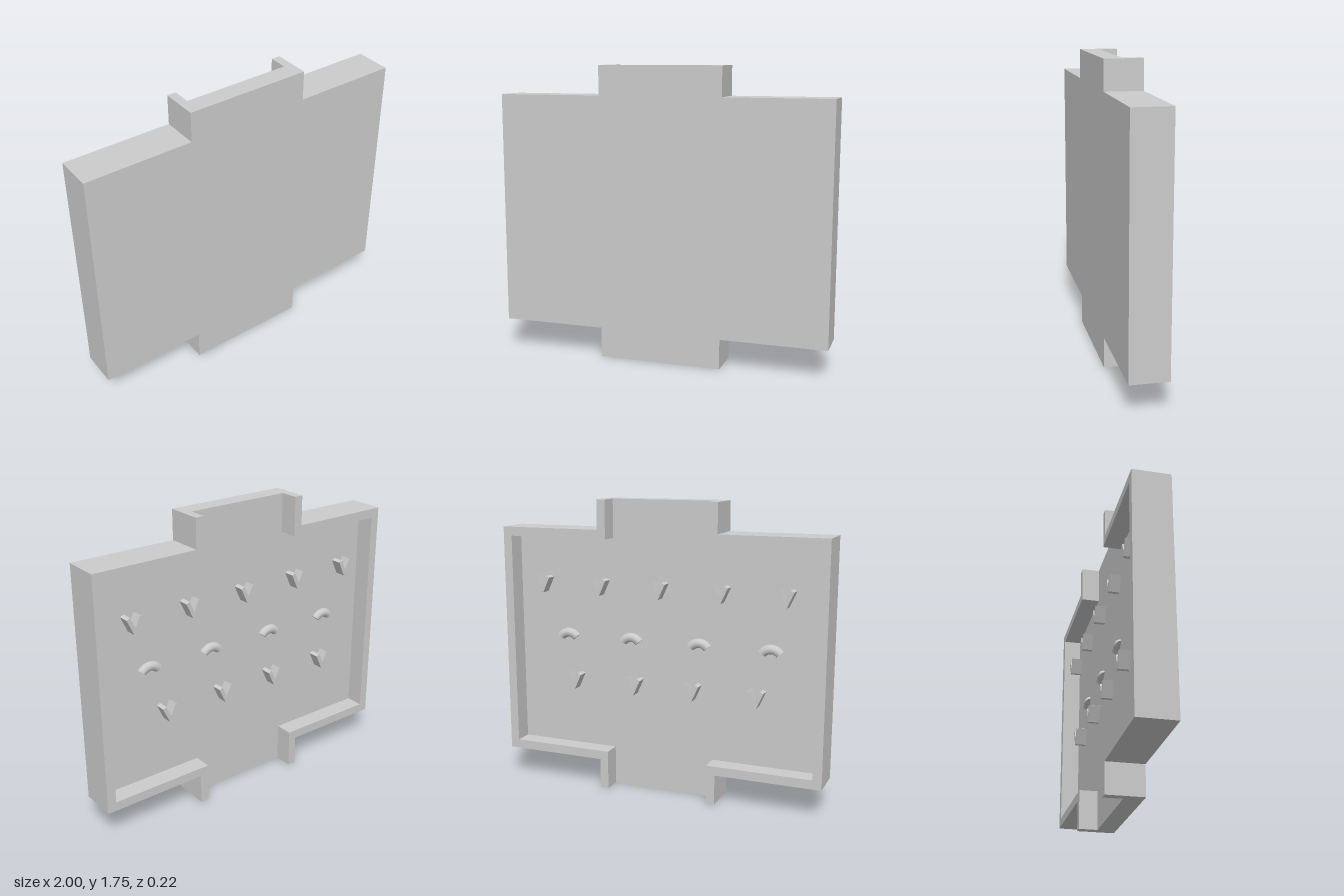
import * as THREE from 'three';

const material = new THREE.MeshStandardMaterial({ color: 0xcccccc, flatShading: true });
const smooth = new THREE.MeshStandardMaterial({ color: 0xcccccc });

function slab(name, points, depth, z) {
  const shape = new THREE.Shape(points.map(([x, y]) => new THREE.Vector2(x, y)));
  const mesh = new THREE.Mesh(new THREE.ExtrudeGeometry(shape, { depth, bevelEnabled: false }), material);
  mesh.name = name;
  mesh.position.z = z;
  return mesh;
}

// V-shaped marker made of two leaning bars
function vMarker(x, y) {
  const group = new THREE.Group();
  group.name = 'vMarker';
  for (const side of [-1, 1]) {
    const arm = new THREE.Mesh(new THREE.BoxGeometry(0.024, 0.1, 0.065), material);
    arm.name = 'vMarkerArm';
    arm.position.x = side * 0.02;
    arm.rotation.z = -side * 0.43;
    group.add(arm);
  }
  group.position.set(x, y, -0.0625);
  return group;
}

// Curved marker: short arc of tube half sunk in the floor, with capped ends
function arcMarker(x, y) {
  const R = 0.07, r = 0.028, half = 0.87;
  const group = new THREE.Group();
  group.name = 'arcMarker';
  const tube = new THREE.Mesh(new THREE.TorusGeometry(R, r, 10, 12, half * 2), smooth);
  tube.name = 'arcMarkerTube';
  tube.rotation.z = Math.PI / 2 - half;
  group.add(tube);
  for (const side of [-1, 1]) {
    const cap = new THREE.Mesh(new THREE.CircleGeometry(r, 10), material);
    cap.name = 'arcMarkerEnd';
    cap.position.set(side * R * Math.sin(half), R * Math.cos(half), 0);
    const normal = new THREE.Vector3(side * Math.cos(half), -Math.sin(half), 0);
    cap.quaternion.setFromUnitVectors(new THREE.Vector3(0, 0, 1), normal);
    group.add(cap);
  }
  group.position.set(x, y, 0);
  return group;
}

export function createModel() {
  const model = new THREE.Group();
  model.name = 'floorTile';

  // Cross-shaped floor plate
  const half = [[0.37, 0], [0.37, 0.18], [1, 0.18], [1, 1.58], [0.37, 1.58], [0.37, 1.755]];
  const mirrored = half.map(([x, y]) => [-x, y]).reverse();
  model.add(slab('floorPlate', [...half, ...mirrored], 0.11, 0));

  // Rim walls, open at both doorways
  const wall = [...half, [0.318, 1.755], [0.318, 1.526], [0.946, 1.526],
    [0.946, 0.234], [0.318, 0.234], [0.318, 0]];
  model.add(slab('leftWall', wall, 0.11, -0.11));
  model.add(slab('rightWall', wall.map(([x, y]) => [-x, y]), 0.11, -0.11));

  // Rows of markers on the floor
  for (const x of [-0.756, -0.376, 0.003, 0.38, 0.756]) model.add(vMarker(x, 1.24));
  for (const x of [-0.596, -0.206, 0.163, 0.554]) model.add(vMarker(x, 0.655));
  for (const x of [-0.66, -0.227, 0.205, 0.624]) model.add(arcMarker(x, 0.865));

  return model;
}
